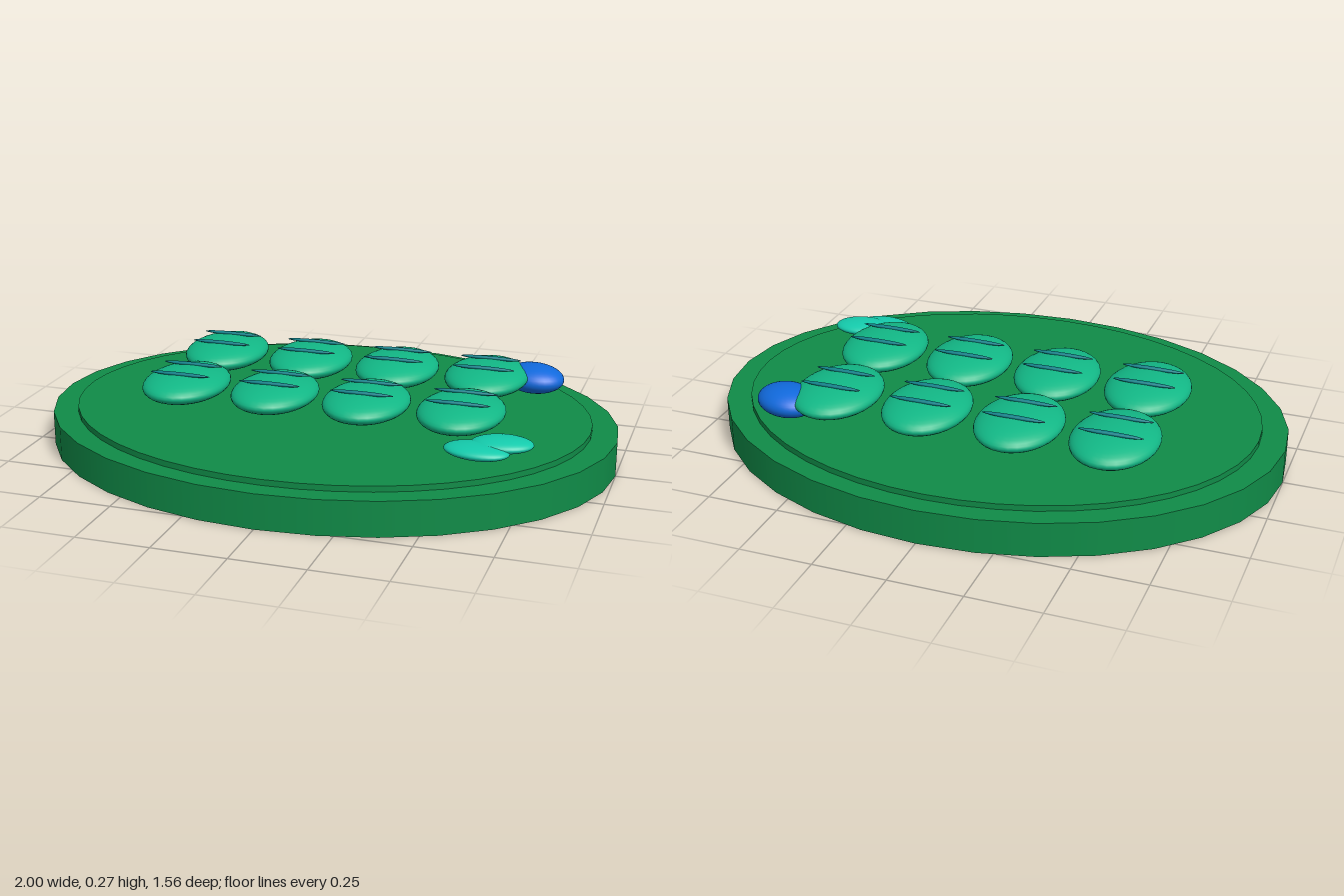
import * as THREE from 'three';

export function createModel() {
  const model = new THREE.Group();
  const paint = (name, color) => {
    const m = new THREE.MeshStandardMaterial({ color });
    m.name = name;
    return m;
  };
  const plateGreen = paint('plate green', 0x108c48);
  const pieceGreen = paint('piece green', 0x12b886);
  const slotTeal = paint('slot teal', 0x0b7f88);
  const leafTeal = paint('leaf teal', 0x14cbac);
  const blue = paint('garnish blue', 0x1069dc);

  // Oval disc standing from y0 to y1
  function disc(name, rx, rz, y0, y1, sides) {
    const mesh = new THREE.Mesh(new THREE.CylinderGeometry(1, 1, y1 - y0, sides), plateGreen);
    mesh.name = name;
    mesh.scale.set(rx, 1, rz);
    mesh.position.y = (y0 + y1) / 2;
    model.add(mesh);
  }

  const ball = new THREE.SphereGeometry(1, 32, 20);
  function ellipsoid(name, material, parent, pos, radii, turn = 0) {
    const mesh = new THREE.Mesh(ball, material);
    mesh.name = name;
    mesh.position.set(...pos);
    mesh.scale.set(...radii);
    mesh.rotation.y = turn;
    parent.add(mesh);
  }

  // Plate with a slightly raised inner surface
  disc('plate', 1, 0.78, 0, 0.12, 32);
  disc('plateTop', 0.91, 0.71, 0.12, 0.14, 48);

  // Two rows of four oval pieces, each with two slots across the top
  for (const z of [-0.28, 0.11]) {
    for (let i = 0; i < 4; i++) {
      const piece = new THREE.Group();
      piece.name = 'piece';
      piece.position.set(-0.495 + i * 0.329, 0.212, z);
      ellipsoid('pieceBody', pieceGreen, piece, [0, 0, 0], [0.147, 0.05, 0.197]);
      for (const s of [-1, 1]) {
        ellipsoid('slot', slotTeal, piece, [0, 0.049, s * 0.06], [0.11, 0.007, 0.009]);
      }
      model.add(piece);
    }
  }

  // Garnish beside the pieces
  ellipsoid('blueGarnish', blue, model, [0.645, 0.195, -0.365], [0.112, 0.051, 0.092], -0.3);
  ellipsoid('lowerLeaf', leafTeal, model, [0.6, 0.175, 0.352], [0.11, 0.024, 0.07], -0.12);
  ellipsoid('upperLeaf', leafTeal, model, [0.672, 0.187, 0.3], [0.102, 0.024, 0.068], 0.12);

  return model;
}
